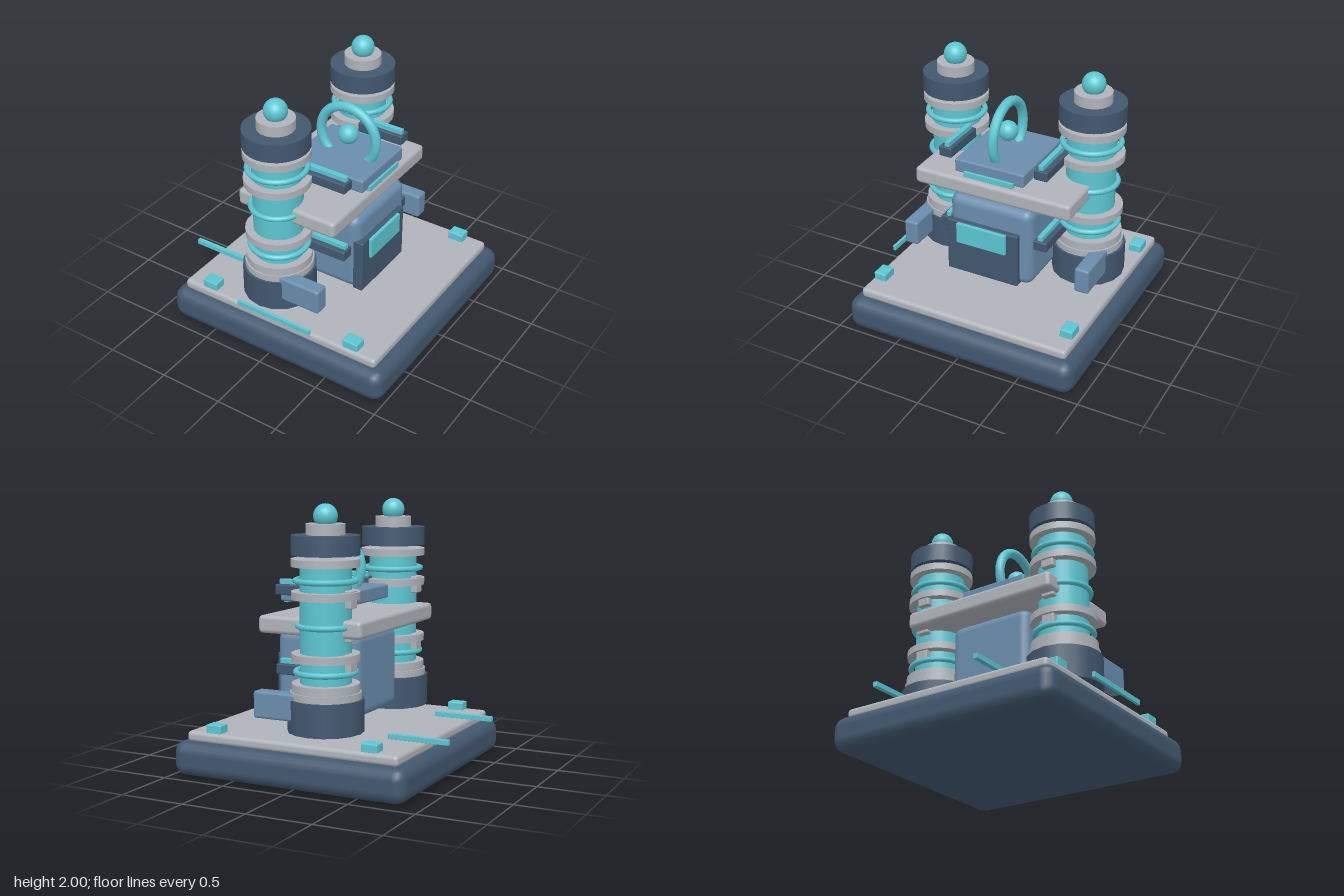
import * as THREE from 'three';
import { RoundedBoxGeometry } from 'three/addons/geometries/RoundedBoxGeometry.js';

export function createModel() {
  const model = new THREE.Group();
  const material = (name, color) => {
    const m = new THREE.MeshStandardMaterial({ color });
    m.name = name;
    return m;
  };
  const navy = material('navy', 0x42586f);
  const blue = material('steelBlue', 0x6a8dad);
  const grey = material('lightGrey', 0xb0b4ba);
  const teal = material('teal', 0x5cc6d2);

  const add = (parent, name, geometry, mat, x = 0, y = 0, z = 0) => {
    const mesh = new THREE.Mesh(geometry, mat);
    mesh.name = name;
    mesh.position.set(x, y, z);
    parent.add(mesh);
    return mesh;
  };
  // Rounded box given by its extents on each axis
  const box = (parent, name, mat, [x0, x1], [y0, y1], [z0, z1], r = 0.01) =>
    add(parent, name, new RoundedBoxGeometry(x1 - x0, y1 - y0, z1 - z0, 2, r), mat,
      (x0 + x1) / 2, (y0 + y1) / 2, (z0 + z1) / 2);
  // Upright drum given by its radius, height range and side count
  const drum = (parent, name, mat, r, y0, y1, sides = 28) =>
    add(parent, name, new THREE.CylinderGeometry(r, r, y1 - y0, sides), mat, 0, (y0 + y1) / 2, 0);

  // Platform
  box(model, 'platformBase', navy, [-0.88, 0.99], [0, 0.26], [-0.93, 0.93], 0.09);
  box(model, 'platformDeck', grey, [-0.8, 0.9], [0.25, 0.33], [-0.85, 0.85], 0.03);
  for (const z of [-0.78, 0.78])
    for (const x of [-0.575, 0.682])
      box(model, 'cornerLamp', teal, [x - 0.063, x + 0.063], [0.32, 0.39], [z - 0.05, z + 0.05]);
  for (const z of [-0.425, 0.425])
    box(model, 'sideLightStrip', teal, [-1, -0.54], [0.338, 0.375], [z - 0.018, z + 0.018], 0.002);
  box(model, 'frontLightStrip', teal, [-0.265, 0.375], [0.355, 0.395], [0.872, 0.895], 0.002);

  // Central cabinet with its control panel
  box(model, 'cabinet', blue, [-0.25, 0.43], [0.42, 1.05], [-0.34, 0.34], 0.07);
  box(model, 'controlPanel', navy, [0.39, 0.472], [0.43, 0.86], [-0.25, 0.335]);
  box(model, 'panelScreen', teal, [0.46, 0.495], [0.69, 0.855], [-0.16, 0.245], 0.005);

  // Bridge plate, pedestal, ring and core
  box(model, 'bridgePlate', grey, [-0.415, 0.415], [1.06, 1.19], [-0.633, 0.633], 0.03);
  box(model, 'pedestal', blue, [-0.2, 0.43], [1.255, 1.36], [-0.28, 0.28], 0.015);
  box(model, 'pedestalStrip', teal, [0.41, 0.445], [1.235, 1.28], [-0.2, 0.2], 0.005);
  add(model, 'portalRing', new THREE.TorusGeometry(0.235, 0.037, 10, 40), teal, 0.13, 1.502, 0);
  add(model, 'portalCore', new THREE.SphereGeometry(0.075, 20, 14), teal, 0.13, 1.515, 0);

  // Mirrored towers
  for (const side of [-1, 1]) {
    const tower = new THREE.Group();
    tower.name = side > 0 ? 'frontTower' : 'backTower';
    tower.position.set(-0.105, 0, side * 0.563);
    model.add(tower);

    drum(tower, 'towerFoot', navy, 0.277, 0.38, 0.62, 16);
    drum(tower, 'lowerCollar', grey, 0.257, 0.62, 0.67);
    drum(tower, 'upperCollar', grey, 0.245, 0.67, 0.73);
    drum(tower, 'glowColumn', teal, 0.185, 0.7, 1.6);
    for (const y of [0.89, 1.33, 1.56]) drum(tower, 'band', grey, 0.246, y, y + 0.055);
    for (const [y, r] of [[0.81, 0.215], [1.14, 0.2], [1.46, 0.215]])
      add(tower, 'coil', new THREE.TorusGeometry(r, 0.021, 8, 36), teal, 0, y, 0).rotation.x = Math.PI / 2;
    for (const y of [0.885, 1.1, 1.335])
      box(tower, 'clamp', grey, [-0.225, -0.15], [y - 0.065, y + 0.065], [-0.05, 0.05]);
    drum(tower, 'towerCap', navy, 0.246, 1.64, 1.78);
    drum(tower, 'capNeck', grey, 0.14, 1.78, 1.86);
    add(tower, 'beacon', new THREE.SphereGeometry(0.087, 24, 16), teal, 0, 1.913, 0);

    // Side module and lit arms
    const span = (a, b) => (side > 0 ? [a, b] : [-b, -a]);
    box(model, 'sideModule', blue, [0.03, 0.375], [0.465, 0.665], span(0.663, 0.778), 0.02);
    for (const y of [0.73, 1.32]) {
      box(model, 'arm', navy, [0, 0.38], [y, y + 0.078], span(0.335, 0.44));
      box(model, 'armLight', teal, [0.02, 0.365], [y + 0.07, y + 0.115], span(0.362, 0.4), 0.004);
    }
  }
  return model;
}
